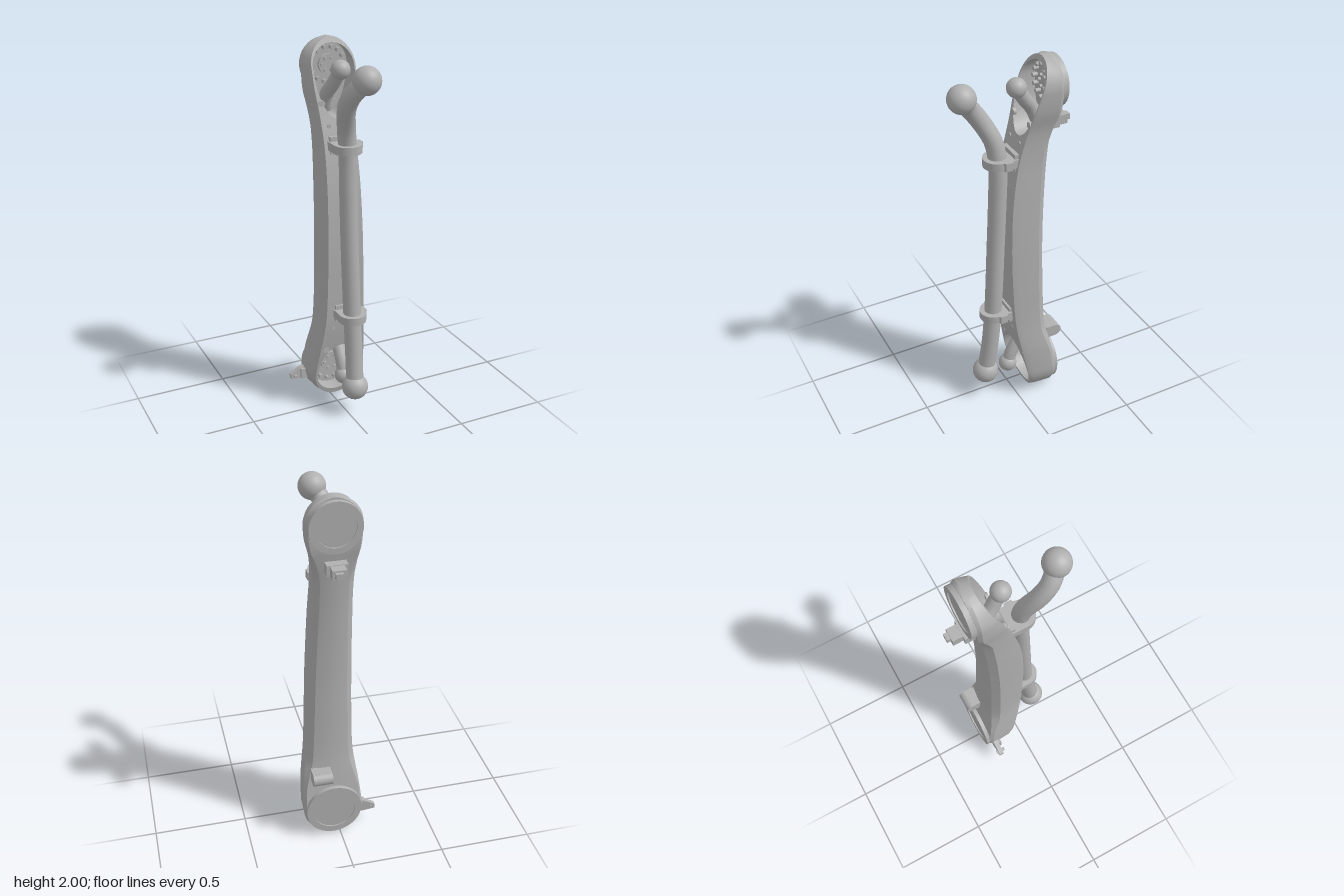
import * as THREE from 'three';
import { toCreasedNormals } from 'three/addons/utils/BufferGeometryUtils.js';

const grey = new THREE.MeshStandardMaterial({ color: 0xb0b0b0 });
grey.name = 'plain grey';
const CX = 0.034; // shared x of both joints

// Joints: centre height, end radius, pocket radius, pocket reach towards the middle, pocket floor
const LOW = { y: 0.163, r: 0.163, dir: -1, pocket: 0.132, reach: 0.18, floor: -0.17 };
const TOP = { y: 1.86, r: 0.14, dir: 1, pocket: 0.114, reach: 0.25, floor: -0.195 };

// Stations along the link: y, left x, right x, back z, front z
const stations = [
  [0, -0.129, 0.197, -0.208, -0.09],
  [0.163, -0.129, 0.197, -0.212, -0.048],
  [0.32, -0.113, 0.189, -0.19, -0.015],
  [0.5, -0.091, 0.167, -0.172, 0.016],
  [0.75, -0.084, 0.155, -0.164, 0.031],
  [1.0, -0.082, 0.146, -0.162, 0.035],
  [1.29, -0.08, 0.134, -0.172, 0.02],
  [1.5, -0.08, 0.127, -0.187, -0.014],
  [1.65, -0.089, 0.137, -0.203, -0.053],
  [1.76, -0.103, 0.164, -0.218, -0.081],
  [1.86, -0.106, 0.174, -0.222, -0.112],
  [2.0, -0.106, 0.174, -0.222, -0.165],
];
const spline = new THREE.CubicInterpolant(
  stations.map((s) => s[0]), stations.flatMap((s) => s.slice(1)), 4);
const at = (y) => Array.from(spline.evaluate(y));

function add(parent, name, geometry, x = 0, y = 0, z = 0) {
  const mesh = new THREE.Mesh(geometry, grey);
  mesh.name = name;
  mesh.position.set(x, y, z);
  parent.add(mesh);
  return mesh;
}

// Half width of a teardrop pocket at height y, or -1 outside it
function pocketHalf(j, y) {
  const d = (y - j.y) * j.dir;
  const t = d > 0 ? d / j.pocket : -d / j.reach;
  return t > 1 + 1e-6 ? -1 : j.pocket * Math.sqrt(Math.max(0, 1 - t * t));
}

// One closed cross-section of the link, seen from above
function section(y) {
  let [xl, xr, zb, zf] = at(y);
  const joint = y < LOW.y ? LOW : y > TOP.y ? TOP : null;
  if (joint) {
    const h = Math.sqrt(Math.max(0, joint.r ** 2 - (y - joint.y) ** 2));
    xl = CX - h;
    xr = CX + h;
  }
  const half = (xr - xl) / 2, mid = (xl + xr) / 2;
  const inset = (v) => Math.min(v, half * 0.13);
  const f = inset(0.02), s = inset(0.007);
  const middle = Math.max(0, Math.min(1, (y - 0.3) / 0.15, (1.72 - y) / 0.15));
  const b = Math.min(0.012 + 0.02 * middle, half * 0.3);
  const shoulder = zb + 0.02 + 0.03 * middle;
  let w = 0, floor = zf;
  for (const j of [LOW, TOP]) {
    const p = pocketHalf(j, y);
    if (p >= 0) { w = p; floor = j.floor; }
  }
  return [
    [xl + s, zf - 0.03], [xl + f, zf],
    [CX - w, zf], [CX - w * 0.97, floor], [CX + w * 0.97, floor], [CX + w, zf],
    [xr - f, zf], [xr - s, zf - 0.03], [xr, shoulder], [xr - b, zb + 0.012 * middle],
    [mid + half * 0.3, zb], [mid - half * 0.3, zb],
    [xl + b, zb + 0.012 * middle], [xl, shoulder],
  ].map(([x, z]) => [x, y, z]);
}

function linkGeometry() {
  const ys = [];
  for (let i = 0; i <= 60; i++) ys.push(LOW.y + (TOP.y - LOW.y) * i / 60);
  for (const j of [LOW, TOP]) {
    for (let i = 0; i <= 14; i++) {
      const c = Math.cos(i / 14 * Math.PI / 2);
      ys.push(j.y + j.dir * j.r * c, j.y + j.dir * j.pocket * c, j.y - j.dir * j.reach * c);
    }
    // rows just outside the pocket keep its end walls upright
    ys.push(j.y + j.dir * (j.pocket + 0.001), j.y - j.dir * (j.reach + 0.001));
  }
  ys.sort((a, b) => a - b);
  const rows = ys.filter((y, i) => i === 0 || y - ys[i - 1] > 1e-5).map(section);
  const n = rows[0].length, index = [];
  for (let i = 0; i < rows.length - 1; i++) {
    for (let k = 0; k < n; k++) {
      const a = i * n + k, b = i * n + (k + 1) % n;
      index.push(a, b, b + n, a, b + n, a + n);
    }
  }
  const g = new THREE.BufferGeometry();
  g.setAttribute('position', new THREE.Float32BufferAttribute(rows.flat(2), 3));
  g.setIndex(index);
  return toCreasedNormals(g, 0.45);
}

function tube(points, radius) {
  const curve = new THREE.CatmullRomCurve3(points.map((p) => new THREE.Vector3(...p)));
  return new THREE.TubeGeometry(curve, 48, radius, 20);
}

// Cylinder whose axis runs along z
const disc = (r, h, n = 16) => new THREE.CylinderGeometry(r, r, h, n).rotateX(Math.PI / 2);

// Clamp around the grab bar: rounded front, straight sides back to the link
function clamp(group, x, y, z, back) {
  const w = 0.074, s = new THREE.Shape();
  s.moveTo(-w, back - z);
  s.lineTo(w, back - z);
  s.lineTo(w, -0.05);
  s.lineTo(w + 0.013, -0.045);
  s.lineTo(w + 0.013, -0.005);
  s.lineTo(w, 0);
  s.absarc(0, 0, w, 0, Math.PI, false);
  s.closePath();
  const g = new THREE.ExtrudeGeometry(s, { depth: 0.044, bevelEnabled: false, curveSegments: 20 });
  g.rotateX(Math.PI / 2).scale(1, 1, 1); // shape y becomes z, depth runs down
  add(group, 'barClamp', toCreasedNormals(g, 0.5), x, y + 0.022, z);
  add(group, 'clampFoot', new THREE.BoxGeometry(0.13, 0.09, 0.04), x, y, back + 0.005);
}

export function createModel() {
  const model = new THREE.Group();
  model.name = 'armLink';
  add(model, 'linkBody', linkGeometry());

  // Joint details: back cover, hub and bolt rings in the pocket
  for (const [j, r, z0, h] of [[LOW, 0.152, -0.205, 0.022], [TOP, 0.13, -0.215, 0.033]]) {
    const profile = [[r, 0], [r, h], [r * 0.76, h], [r * 0.76, h - 0.007], [0, h - 0.007]];
    const cover = new THREE.LatheGeometry(profile.map((p) => new THREE.Vector2(...p)), 48);
    add(model, 'jointCover', toCreasedNormals(cover.rotateX(-Math.PI / 2), 0.5), CX, j.y, z0);
    add(model, 'jointHub', disc(j.pocket * 0.45, 0.016, 28), CX, j.y, j.floor + 0.006);
    for (const [ring, count, size] of [[0.78, 14, 0.011], [0.3, 6, 0.009]]) {
      for (let i = 0; i < count; i++) {
        const a = i / count * Math.PI * 2, d = ring * j.pocket;
        add(model, 'bolt', disc(size, 0.03, 12),
          CX + d * Math.cos(a), j.y + d * Math.sin(a), j.floor + 0.012);
      }
    }
  }

  // Screws on the front face
  for (const [x, y] of [[0.112, 1.69], [-0.055, 1.69], [-0.06, 0.33], [0.145, 0.32],
    [0.09, 0.47], [-0.03, 0.47], [0.07, 1.58], [-0.03, 1.58]]) {
    const r = y > 1.6 || y < 0.4 ? 0.018 : 0.011;
    add(model, 'faceScrew', disc(r, 0.016), x, y, at(y)[3] - 0.005);
  }

  // Long grab bar with a ball at each end
  const bar = [[0.034, 1.865, 0.25], [-0.012, 1.79, 0.195], [-0.016, 1.71, 0.138],
    [0.012, 1.59, 0.078], [0.027, 1.475, 0.063], [0.03, 1.235, 0.068], [0.032, 0.97, 0.08],
    [0.038, 0.6, 0.1], [0.04, 0.36, 0.122], [0.034, 0.165, 0.15]];
  add(model, 'grabBar', tube(bar, 0.047));
  for (const p of [bar[0], bar.at(-1)]) {
    add(model, 'barBall', new THREE.SphereGeometry(0.071, 32, 20), ...p);
  }
  clamp(model, 0.026, 1.487, 0.064, -0.025);
  clamp(model, 0.04, 0.563, 0.101, 0.012);

  // Short ball stems rising out of the pockets
  for (const path of [
    [[0.034, 1.86, -0.035], [0.02, 1.785, -0.085], [0.004, 1.72, -0.135], [0.01, 1.64, -0.17]],
    [[0.034, 0.165, 0.01], [0.034, 0.235, -0.012], [0.034, 0.3, -0.05], [0.034, 0.37, -0.1]],
  ]) {
    add(model, 'ballStem', tube(path, 0.035));
    add(model, 'stemBall', new THREE.SphereGeometry(0.05, 28, 18), ...path[0]);
  }

  // Upper back bracket
  add(model, 'backBracket', new THREE.BoxGeometry(0.105, 0.055, 0.06), 0.028, 1.648, -0.222);
  add(model, 'bracketNeck', new THREE.BoxGeometry(0.07, 0.05, 0.07), 0.03, 1.648, -0.27);
  add(model, 'bracketTip', new THREE.BoxGeometry(0.038, 0.03, 0.025), 0.034, 1.65, -0.312);

  // Lower back stop with a rounded end
  add(model, 'backStop', new THREE.BoxGeometry(0.105, 0.07, 0.06), 0.1, 0.395, -0.2);
  add(model, 'stopNose', new THREE.CylinderGeometry(0.035, 0.035, 0.105, 20)
    .rotateZ(Math.PI / 2), 0.1, 0.395, -0.225);

  // Pointed side lug near the lower joint
  const lug = new THREE.Shape([[-0.205, 0.1], [-0.1, 0.09], [-0.1, 0.175], [-0.15, 0.16],
    [-0.205, 0.125]].map((p) => new THREE.Vector2(...p)));
  add(model, 'sideLug', new THREE.ExtrudeGeometry(lug, { depth: 0.026, bevelEnabled: false }),
    0, 0, -0.192);
  add(model, 'lugBlock', new THREE.BoxGeometry(0.05, 0.06, 0.045), -0.125, 0.128, -0.172);
  add(model, 'lugPin', disc(0.01, 0.05), -0.182, 0.115, -0.175);
  return model;
}
